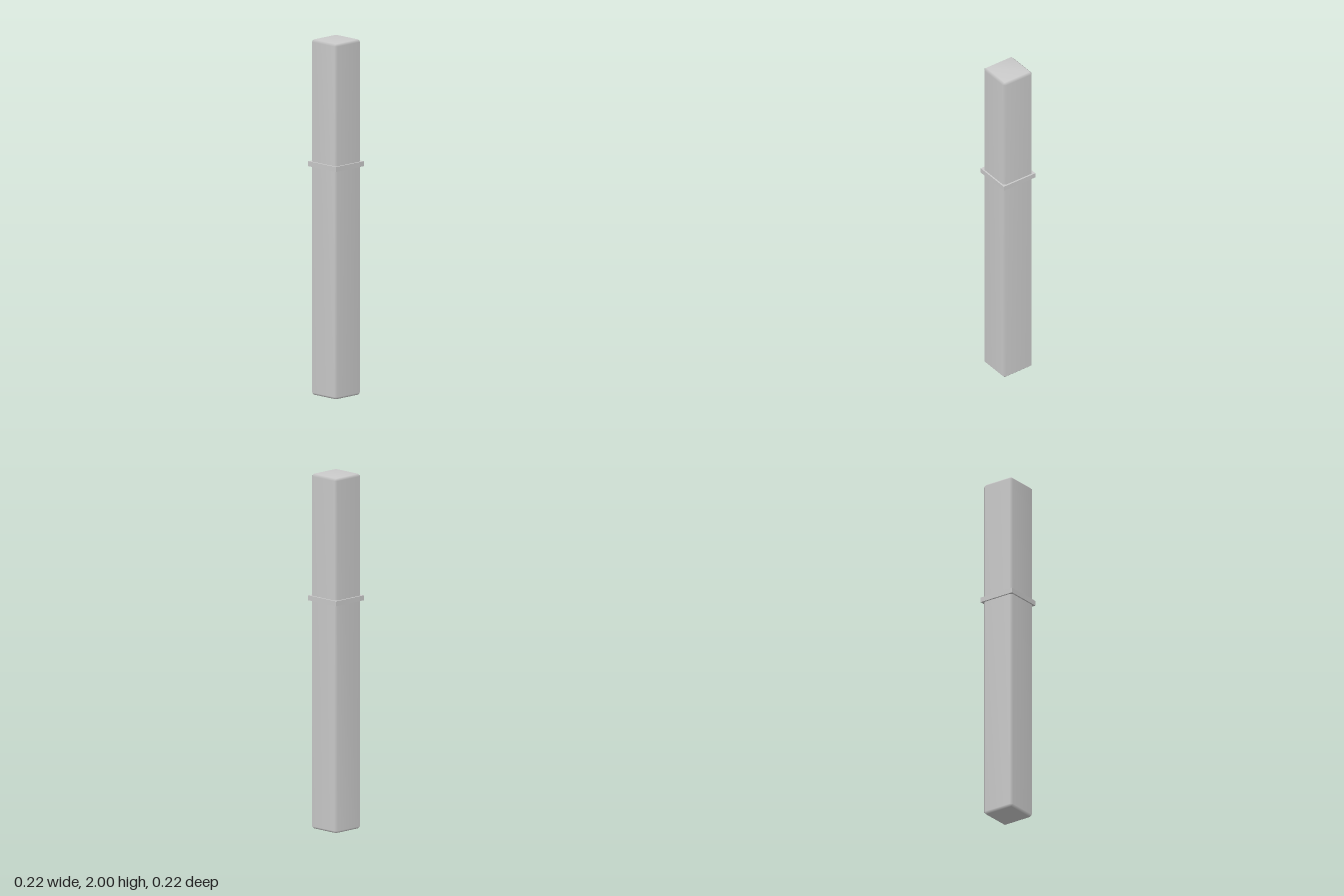
import * as THREE from 'three';
import { mergeVertices } from 'three/addons/utils/BufferGeometryUtils.js';
import { ConvexGeometry } from 'three/addons/geometries/ConvexGeometry.js';

// Box with a single flat chamfer on every edge and softly blended normals
function chamferedBox(w, h, d, c) {
  const points = [];
  for (const sx of [-1, 1]) for (const sy of [-1, 1]) for (const sz of [-1, 1]) {
    const [x, y, z] = [sx * w / 2, sy * h / 2, sz * d / 2];
    points.push(
      new THREE.Vector3(x, y - sy * c, z - sz * c),
      new THREE.Vector3(x - sx * c, y, z - sz * c),
      new THREE.Vector3(x - sx * c, y - sy * c, z)
    );
  }
  const hull = new ConvexGeometry(points);
  hull.deleteAttribute('normal');
  const geometry = mergeVertices(hull);
  geometry.computeVertexNormals();
  return geometry;
}

export function createModel() {
  const model = new THREE.Group();
  model.name = 'squarePost';
  const material = new THREE.MeshStandardMaterial({ color: 0xcccccc });

  // Tall square post
  const post = new THREE.Mesh(chamferedBox(0.198, 2, 0.198, 0.013), material);
  post.name = 'post';
  post.position.y = 1;
  model.add(post);

  // Thin square band around the post
  const band = new THREE.Mesh(new THREE.BoxGeometry(0.216, 0.028, 0.216), material);
  band.name = 'band';
  band.position.y = 1.3;
  model.add(band);

  return model;
}
